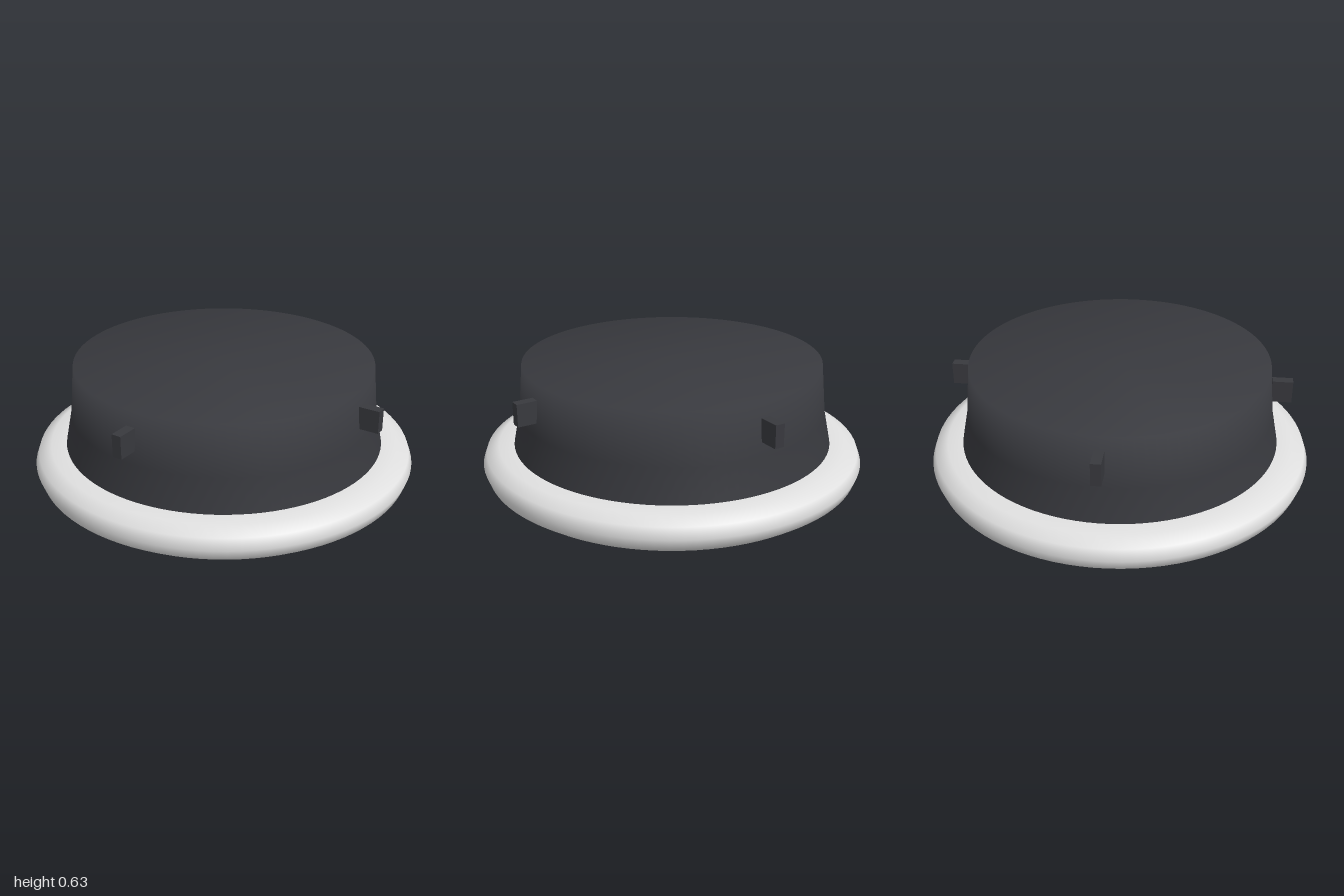
import * as THREE from 'three';

const SEG = 96;
const mat = (name, color) => Object.assign(new THREE.MeshStandardMaterial({ color }), { name });
const lathe = (pts) => new THREE.LatheGeometry(pts.map(([x, y]) => new THREE.Vector2(x, y)), SEG);

export function createModel() {
  const group = new THREE.Group();
  group.name = 'ceilingSpeaker';
  const dark = mat('charcoal', 0x38393e);
  const light = mat('lightGrey', 0xe0e0e0);
  const wire = mat('wireGrey', 0xb8b8b8);
  const black = mat('nearBlack', 0x1c1c1f);

  const add = (name, geometry, material, parent = group) => {
    const mesh = new THREE.Mesh(geometry, material);
    mesh.name = name;
    parent.add(mesh);
    return mesh;
  };

  // Tapered housing with a smoothly shaded flat cap
  add('housing', lathe([[0.84, 0.17], [0.835, 0.2], [0.8, 0.37], [0.775, 0.63], [0, 0.63]]), dark);

  // Rounded trim ring
  add('trimRing', lathe([
    [0.76, 0.06], [0.765, 0.02], [0.79, 0.006], [0.85, 0], [0.93, 0.018], [0.98, 0.055],
    [1, 0.11], [0.98, 0.165], [0.915, 0.197], [0.82, 0.197],
  ]), light);

  // Recessed plate behind the grille, facing down
  const plate = add('backPlate', new THREE.CircleGeometry(0.8, SEG), black);
  plate.rotation.x = Math.PI / 2;
  plate.position.y = 0.05;

  // Grille rim
  const rim = add('grilleRim', new THREE.TorusGeometry(0.637, 0.018, 10, SEG), light);
  rim.rotation.x = Math.PI / 2;
  rim.position.y = 0.024;

  // Wire grille: two crossed layers clipped to the rim
  const grille = new THREE.Group();
  grille.name = 'grille';
  grille.rotation.y = Math.PI / 4;
  group.add(grille);
  const R = 0.63, step = 0.045;
  for (let i = -13; i <= 13; i++) {
    const d = i * step;
    const length = 2 * Math.sqrt(R * R - d * d);
    const geometry = new THREE.CylinderGeometry(0.009, 0.009, length, 6);
    const across = add('grilleWireAcross', geometry, wire, grille);
    across.rotation.z = Math.PI / 2;
    across.position.set(0, 0.02, d);
    const along = add('grilleWireAlong', geometry, wire, grille);
    along.rotation.x = Math.PI / 2;
    along.position.set(d, 0.031, 0);
  }

  // Four mounting clips on the diagonals
  const clip = new THREE.BoxGeometry(0.105, 0.115, 0.05);
  for (let i = 0; i < 4; i++) {
    const a = Math.PI / 4 + i * Math.PI / 2;
    const mesh = add('mountingClip', clip, dark);
    mesh.position.set(0.836 * Math.cos(a), 0.498, 0.836 * Math.sin(a));
    mesh.rotation.y = -a;
  }
  return group;
}
